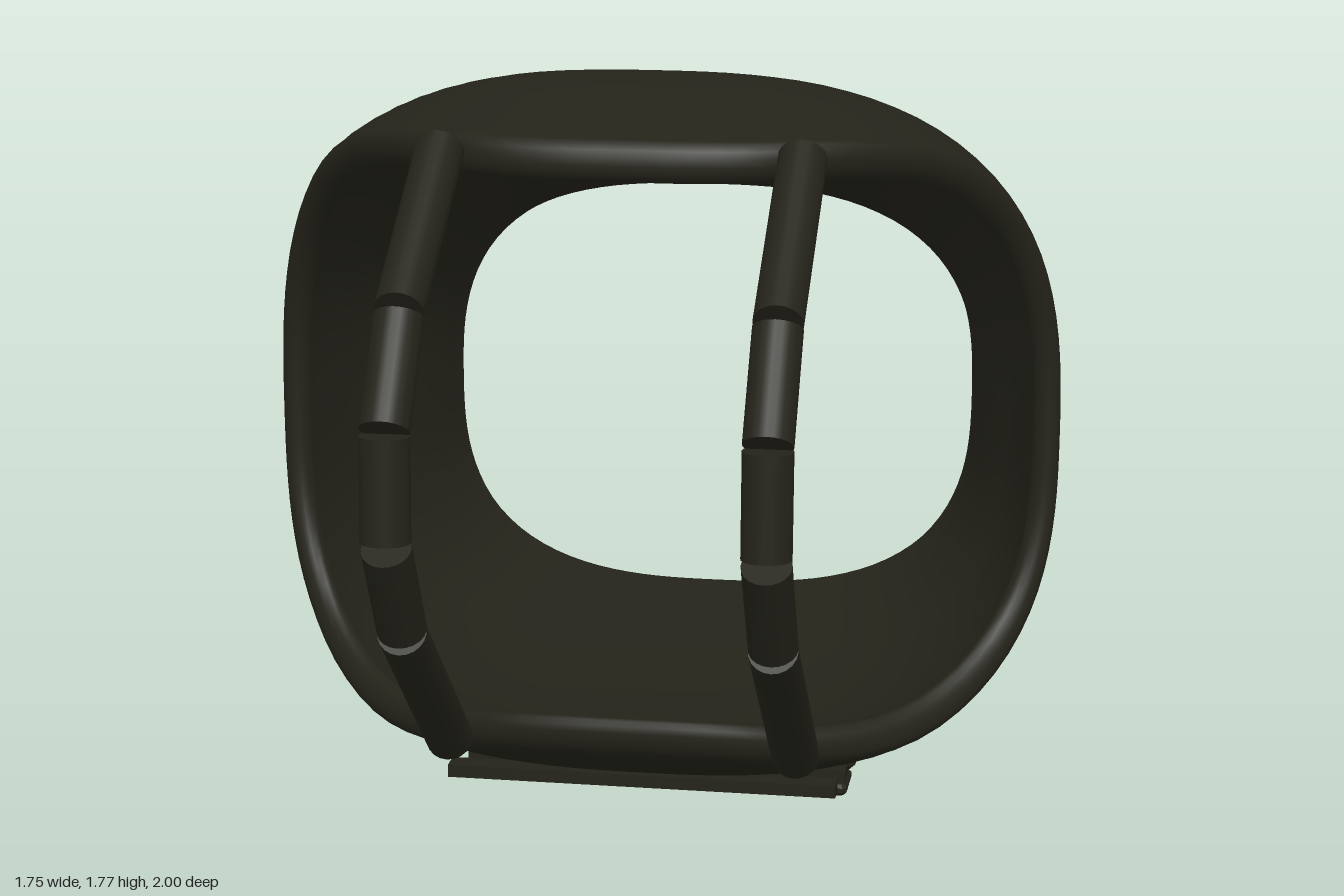
import * as THREE from 'three';

const material = new THREE.MeshStandardMaterial({ color: 0x24231a, side: THREE.DoubleSide });

// Smooth lookup through a few [key, value] pairs
function smooth(pairs) {
  const curve = new THREE.CubicInterpolant(
    new Float32Array(pairs.map(p => p[0])), new Float32Array(pairs.map(p => p[1])), 1);
  return t => curve.evaluate(t)[0];
}

// Shell outline along z
const topAt = smooth([[-1, 1.46], [-0.85, 1.47], [-0.7, 1.51], [-0.5, 1.6], [-0.3, 1.69],
  [-0.1, 1.762], [0.05, 1.775], [0.25, 1.735], [0.45, 1.685]]);
const bottomAt = smooth([[-1, 0.28], [-0.8, 0.25], [-0.5, 0.21], [-0.2, 0.2], [0, 0.215],
  [0.15, 0.25], [0.3, 0.315], [0.45, 0.405]]);
const widthAt = smooth([[-1, 0.69], [-0.8, 0.72], [-0.62, 0.765], [-0.46, 0.82], [-0.3, 0.857],
  [-0.15, 0.88], [0.1, 0.885], [0.45, 0.885]]);
// Front rim: z against sideways position
const rimAt = smooth([[0, 0.44], [0.17, 0.435], [0.34, 0.4], [0.57, 0.27], [0.8, 0.06],
  [0.91, -0.06], [1, -0.15]]);

function shellGeometry() {
  const around = 112, along = 28, n = 2.75;
  // Wall profile: t runs back to front, inset runs outside to inside, dz rounds the lips
  const rows = [];
  for (let j = 0; j <= along; j++) rows.push({ t: j / along, inset: 0, dz: j === along ? -0.03 : 0 });
  for (let k = 1; k < 8; k++) {
    const a = Math.PI * k / 8;
    rows.push({ t: 1, inset: (1 - Math.cos(a)) / 2, dz: -0.03 * (1 - Math.sin(a)) });
  }
  for (let j = along; j >= 1; j--) rows.push({ t: j / along, inset: 1, dz: j === along ? -0.03 : 0 });
  for (let k = 0; k < 6; k++) {
    const a = Math.PI / 2 * k / 6;
    rows.push({ t: 0, inset: Math.cos(a), dz: 0.04 * (1 - Math.sin(a)) });
  }

  const positions = [], index = [];
  rows.forEach((row, j) => {
    for (let i = 0; i < around; i++) {
      const a = 2 * Math.PI * i / around, c = Math.cos(a), s = Math.sin(a);
      const r = (Math.abs(c) ** n + Math.abs(s) ** n) ** (-1 / n);
      const z = -1 + (rimAt(Math.min(1, Math.abs(r * c))) + 1) * row.t + row.dz;
      const top = topAt(z) - 0.085 * row.inset, bottom = bottomAt(z) + 0.085 * row.inset;
      const w = widthAt(z) - 0.06 * row.inset;
      positions.push(r * c * w, (top + bottom) / 2 + r * s * (top - bottom) / 2, z);
      const i2 = (i + 1) % around, j2 = (j + 1) % rows.length;
      const p = j * around + i, q = j * around + i2, u = j2 * around + i, v = j2 * around + i2;
      index.push(p, q, u, q, v, u);
    }
  });
  const geometry = new THREE.BufferGeometry();
  geometry.setAttribute('position', new THREE.Float32BufferAttribute(positions, 3));
  geometry.setIndex(index);
  geometry.computeVertexNormals();
  return geometry;
}

// Straight round bar between two points
function bar(from, to, radius) {
  const dir = to.clone().sub(from);
  const mesh = new THREE.Mesh(new THREE.CylinderGeometry(radius, radius, dir.length(), 20), material);
  mesh.position.copy(from).add(to).multiplyScalar(0.5);
  mesh.quaternion.setFromUnitVectors(new THREE.Vector3(0, 1, 0), dir.normalize());
  return mesh;
}

// Box with chamfered edges, centred on the origin
function chamferBox(w, h, d, b) {
  const x = w / 2 - b, y = d / 2 - b, k = b * 0.6;
  const shape = new THREE.Shape([[-x + k, -y], [x - k, -y], [x, -y + k], [x, y - k], [x - k, y],
    [-x + k, y], [-x, y - k], [-x, -y + k]].map(p => new THREE.Vector2(...p)));
  const g = new THREE.ExtrudeGeometry(shape,
    { depth: h - 2 * b, bevelEnabled: true, bevelThickness: b, bevelSize: b, bevelSegments: 1 });
  return g.translate(0, 0, b - h / 2).rotateX(-Math.PI / 2);
}

export function createModel() {
  const model = new THREE.Group();
  const add = (name, geometry, x, y, z) => {
    const mesh = new THREE.Mesh(geometry, material);
    mesh.name = name;
    mesh.position.set(x, y, z);
    model.add(mesh);
  };

  add('shell', shellGeometry(), 0, 0, 0);

  // Guard bar segments as [z, y] pairs
  const segments = [
    [[0.42, 1.67], [0.80, 1.415]], [[0.805, 1.405], [0.94, 1.21]], [[0.94, 1.2], [0.95, 0.99]],
    [[0.945, 0.975], [0.83, 0.775]], [[0.83, 0.77], [0.42, 0.405]]];
  for (const side of [-1, 1]) {
    const guard = new THREE.Group();
    guard.name = side > 0 ? 'leftGuardBar' : 'rightGuardBar';
    for (const [a, b] of segments) {
      guard.add(bar(new THREE.Vector3(side * 0.37, a[1], a[0]), new THREE.Vector3(side * 0.37, b[1], b[0]), 0.05));
    }
    model.add(guard);

    // Chamfered block and its small plate underneath
    const prefix = side > 0 ? 'left' : 'right';
    add(prefix + 'Block', chamferBox(0.3, 0.215, 0.51, 0.035), side * 0.26, 0.135, -0.7);
    add(prefix + 'BlockPlate', chamferBox(0.27, 0.028, 0.13, 0.008), side * 0.26, 0.016, -0.49);
  }

  // Cross ribs under the shell
  for (const [z, y] of [[0.155, 0.24], [-0.06, 0.198], [-0.275, 0.183], [-0.49, 0.207], [-0.7, 0.23]]) {
    add('rib', new THREE.BoxGeometry(0.86, 0.028, 0.052), 0, y, z);
  }
  return model;
}
